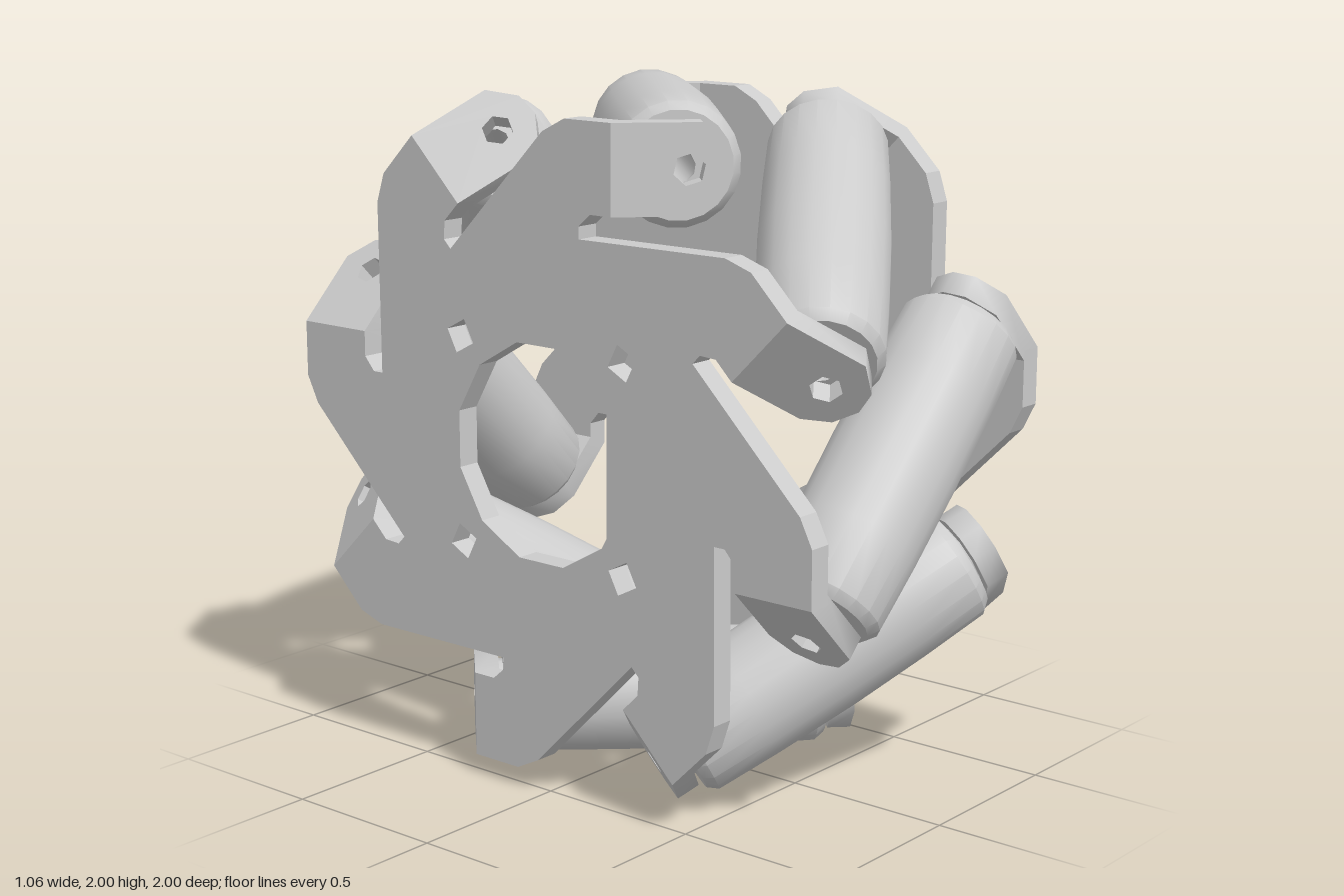
import * as THREE from 'three';
import { toCreasedNormals } from 'three/addons/utils/BufferGeometryUtils.js';

const COUNT = 8;            // rollers, and tabs per plate
const STEP = (Math.PI * 2) / COUNT;
const T = 0.07;             // plate thickness
const PLATE_X = 0.495;      // middle of the plate thickness
const BEND = 0.25;          // distance of the tab fold from the sector centre line
const MITRE = Math.tan(Math.PI / 8);
const ROLLER_R = 0.815;     // radius at which the roller axes sit

const material = new THREE.MeshStandardMaterial({ color: 0xcccccc });

function mesh(name, geometry) {
  const m = new THREE.Mesh(geometry, material);
  m.name = name;
  return m;
}

// Regular polygon path used for the holes
function polygonHole(x, y, r, sides, turn) {
  const pts = [];
  for (let i = 0; i < sides; i++) {
    const a = turn - (i / sides) * Math.PI * 2;
    pts.push(new THREE.Vector2(x + r * Math.cos(a), y + r * Math.sin(a)));
  }
  return new THREE.Path(pts);
}

function extrude(shape) {
  const g = new THREE.ExtrudeGeometry(shape, { depth: T, bevelEnabled: false });
  g.translate(0, 0, -T / 2);
  return g;
}

// Flat pinwheel plate with slits between the tabs
function plateGeometry() {
  const end = BEND + (T / 2) * MITRE;
  const sector = [
    [0.15, 0.62], [0.15, 0.655], [0.19, 0.69],
    [end, 0.69], [end, 0.94], [0.1, 0.94], [0.02, 0.9],
  ];
  const pts = [];
  for (let i = 0; i < COUNT; i++) {
    for (const [u, v] of sector) {
      pts.push(new THREE.Vector2(u, v).rotateAround(new THREE.Vector2(), i * STEP));
    }
  }
  const shape = new THREE.Shape(pts);
  shape.holes.push(polygonHole(0, 0, 0.32, 12, Math.PI / 12));
  for (const sx of [-1, 1]) {
    for (const sy of [-1, 1]) shape.holes.push(polygonHole(0.3 * sx, 0.3 * sy, 0.052, 4, sx * sy * 0.3));
  }
  return extrude(shape);
}

// Folded tab with a rounded tip, mitred along the fold
function tabGeometry() {
  const shape = new THREE.Shape([
    [0, 0.69], [0.2, 0.69], [0.275, 0.73], [0.31, 0.8], [0.3, 0.87], [0.23, 0.94], [0, 0.94],
  ].map(([s, v]) => new THREE.Vector2(s, v)));
  shape.holes.push(polygonHole(0.195, ROLLER_R, 0.045, 6, 0.3));
  const g = extrude(shape);
  const p = g.attributes.position;
  for (let i = 0; i < p.count; i++) {
    if (p.getX(i) < 0.001) p.setX(i, -p.getZ(i) * MITRE);
  }
  g.computeVertexNormals();
  return toCreasedNormals(g, 0.85);
}

// Closed hollow lathe body with crisp rims
function hollowLathe(profile, sides) {
  const pts = [...profile, profile[0]].map(([r, y]) => new THREE.Vector2(r, y));
  return toCreasedNormals(new THREE.LatheGeometry(pts, sides), 0.7);
}

export function createModel() {
  const model = new THREE.Group();
  model.name = 'rollerWheel';
  const wheel = new THREE.Group();
  wheel.name = 'wheel';
  wheel.position.y = 1;
  model.add(wheel);

  // Two side plates, the second turned half round
  const plateGeo = plateGeometry();
  const tabGeo = tabGeometry();
  for (const [name, turn] of [['leftPlate', 0], ['rightPlate', Math.PI]]) {
    const side = new THREE.Group();
    side.name = name;
    side.rotation.y = Math.PI / 2 + turn;
    const disc = mesh('plateDisc', plateGeo);
    disc.position.z = PLATE_X;
    side.add(disc);
    for (let i = 0; i < COUNT; i++) {
      const holder = new THREE.Group();
      holder.name = 'tabHolder';
      holder.rotation.z = i * STEP;
      const tab = mesh('bentTab', tabGeo);
      tab.position.set(BEND, 0, PLATE_X);
      tab.rotation.y = Math.PI / 4;
      holder.add(tab);
      side.add(holder);
    }
    wheel.add(side);
  }

  // Nearly straight rollers with a thin washer at each end
  const rollerGeo = hollowLathe([
    [0.045, -0.478], [0.15, -0.478], [0.173, -0.45], [0.181, -0.25], [0.185, 0],
    [0.181, 0.25], [0.173, 0.45], [0.15, 0.478], [0.045, 0.478],
  ], 20);
  const washerGeo = hollowLathe([[0.045, -0.01], [0.1, -0.01], [0.1, 0.01], [0.045, 0.01]], 10);
  const axis = new THREE.Vector3(1, 0, -1).normalize();
  for (let i = 0; i < COUNT; i++) {
    const arm = new THREE.Group();
    arm.name = 'rollerPosition';
    arm.rotation.x = i * STEP;
    const unit = new THREE.Group();
    unit.name = 'rollerUnit';
    unit.position.y = ROLLER_R;
    unit.quaternion.setFromUnitVectors(new THREE.Vector3(0, 1, 0), axis);
    unit.add(mesh('roller', rollerGeo));
    for (const s of [-1, 1]) {
      const washer = mesh('washer', washerGeo);
      washer.position.y = s * 0.485;
      unit.add(washer);
    }
    arm.add(unit);
    wheel.add(arm);
  }
  return model;
}
